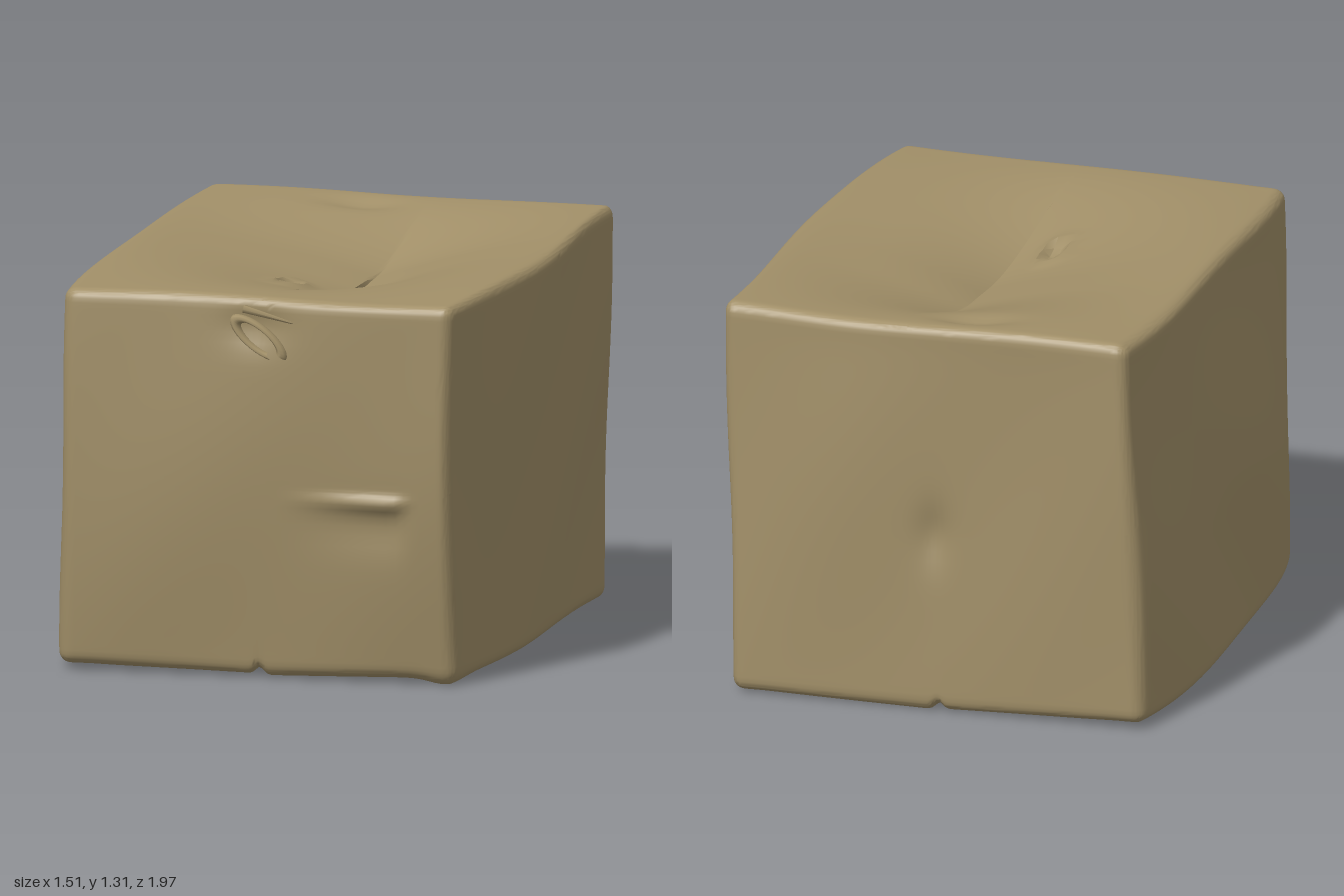
import * as THREE from 'three';
import { mergeVertices, toCreasedNormals } from 'three/addons/utils/BufferGeometryUtils.js';

const HALF = new THREE.Vector3(0.71, 0.65, 0.95); // nominal half size
const R = 0.038; // softness of the edges
const { smoothstep, lerp } = THREE.MathUtils;

// Skewed corners: [left/right][bottom/top][back/front]
const CORNERS = [
  [[[-0.69, 0.03, -0.98], [-0.67, 0.03, 0.83]], [[-0.635, 1.315, -0.99], [-0.645, 1.27, 0.88]]],
  [[[0.695, 0.015, -0.945], [0.645, 0.03, 0.845]], [[0.745, 1.31, -0.885], [0.66, 1.27, 0.985]]],
];

const bump = (a, a0, sa, b, b0, sb) => Math.exp(-(((a - a0) / sa) ** 2) - ((b - b0) / sb) ** 2);

// Packs grid lines towards the edges and the middle seam
const pack = (u) => u - 0.8 * Math.sin(2 * Math.PI * u) / (2 * Math.PI);

function skew(n) {
  const t = [n.x, n.y, n.z].map((c) => (c + 1) / 2);
  return new THREE.Vector3(...[0, 1, 2].map((k) => {
    const edge = (i, j) => lerp(CORNERS[i][j][0][k], CORNERS[i][j][1][k], t[2]);
    return lerp(lerp(edge(0, 0), edge(0, 1), t[1]), lerp(edge(1, 0), edge(1, 1), t[1]), t[0]);
  }));
}

// Maps a point of the cube to the crumpled carton
function place(cube) {
  const p = cube.clone().multiply(HALF);
  const lim = HALF.clone().subScalar(R);
  const core = p.clone().clamp(lim.clone().negate(), lim);
  const out = p.clone().sub(core);
  if (out.lengthSq() > 1e-12) p.copy(core).add(out.setLength(R));
  const n = p.divide(HALF);
  const v = skew(n);
  const face = (c) => Math.max(0, c) ** 14;
  const [top, bottom, front, back] = [face(n.y), face(-n.y), face(n.z), face(-n.z)];
  const [right, left] = [face(n.x), face(-n.x)];
  const off = cube.x * HALF.x; // distance from the seam

  // Sides bow out along their length; the whole width follows
  const bow = 1 - n.z ** 4;
  v.x -= Math.max(0, -n.x) * bow * (0.03 + 0.045 * (1 - smoothstep(v.y, 0.5, 1.25)));
  v.x += Math.max(0, n.x) * bow * 0.05 * smoothstep(v.z, -0.9, 0.25);
  v.x -= right * 0.015 * bump(v.y, 0.65, 0.35, v.z, 0.8, 0.2);

  // Top: two flaps sag towards the seam, the right one a little deeper
  v.x += top * (0.055 - 0.03 * n.z) * (1 - n.x * n.x);
  const along = smoothstep(v.z, -0.9, -0.25) * (1 - smoothstep(v.z, -0.05, 0.85));
  v.y -= top * 0.145 * along * Math.max(0, 1 - Math.abs(off) / 0.64) ** 1.35;
  if (off > 0.001) {
    v.y -= top * 0.04 * Math.exp(-(((v.z - 0.15) / 0.3) ** 2)) * Math.max(0, 1 - off / 0.4) ** 2;
  }
  v.y -= top * 0.025 * bump(v.x, -0.08, 0.12, v.z, -0.8, 0.06);
  // Small tear with a raised rim on the top
  const tear = Math.hypot((v.x + 0.055) / 0.045, (v.z - 0.23) / 0.09);
  v.y += top * (0.016 * Math.exp(-(((tear - 1) / 0.35) ** 2)) - 0.025 * Math.exp(-tear * tear * 2));

  // Bottom: left flap is tucked in behind the edge of the right one
  v.y -= bottom * 0.017 * Math.max(0, 1 - Math.abs(off) / 0.6) * n.z ** 4;
  v.y += bottom * 0.03 * Math.exp(-((off / 0.02) ** 2)) * n.z ** 8;
  v.y -= bottom * 0.02 * bump(v.x, 0.6, 0.07, v.z, 0.8, 0.15);
  if (off < -0.001) v.y += bottom * 0.045 * Math.max(0, 1 + off / 0.5) * (1 - n.z ** 4);

  // Front: bulge, folded slit and dent below the top edge
  v.z += front * 0.03 * Math.cos(n.y * Math.PI / 2);
  const slitY = v.y - 0.61;
  const slitX = smoothstep(v.x, 0.05, 0.45) * (1 - smoothstep(v.x, 0.46, 0.52));
  v.z += front * slitX * (0.025 * Math.exp(-((slitY / 0.025) ** 2)) - 0.015 * Math.exp(-(((slitY + 0.08) / 0.08) ** 2)));
  v.z -= front * 0.02 * bump(v.x, 0.0, 0.1, v.y, 1.17, 0.06);

  // Back: bulge towards the right, crease and shallow waves
  v.z -= back * 0.025 * bump(v.x, 0.35, 0.28, v.y, 0.9, 0.7);
  v.z += back * (0.02 * bump(v.x, 0.02, 0.06, v.y, 0.6, 0.1) + 0.006 * Math.sin(v.x * 7 + v.y * 3) * (1 - n.y ** 2));

  // Gentle unevenness all over
  v.x += (right + left) * 0.004 * Math.sin(v.y * 6 + v.z * 5);
  v.y += top * 0.004 * Math.sin(v.x * 6 - v.z * 4);
  v.z += front * 0.004 * Math.sin(v.x * 7 - v.y * 5);
  return v;
}

function cartonGeometry() {
  const box = new THREE.BoxGeometry(2, 2, 2, 64, 52, 72);
  box.deleteAttribute('uv');
  box.deleteAttribute('normal');
  const geo = mergeVertices(box, 1e-5);
  const pos = geo.attributes.position;
  const v = new THREE.Vector3();
  for (let i = 0; i < pos.count; i++) {
    v.fromBufferAttribute(pos, i);
    v.set(pack(v.x), pack(v.y), pack(v.z));
    const q = place(v);
    pos.setXYZ(i, q.x, q.y, q.z);
  }
  return toCreasedNormals(geo, 0.8);
}

export function createModel() {
  const model = new THREE.Group();
  model.name = 'crumpledCarton';
  const cardboard = new THREE.MeshStandardMaterial({ name: 'cardboard', color: 0xa18f68 });

  const carton = new THREE.Mesh(cartonGeometry(), cardboard);
  carton.name = 'carton';
  model.add(carton);

  // Torn, curled lip below the front top edge
  const lip = new THREE.Mesh(new THREE.TorusGeometry(1, 0.22, 8, 28, Math.PI * 1.75), cardboard);
  lip.name = 'tornLip';
  lip.scale.set(0.095, 0.035, 0.1);
  lip.rotation.set(0, -0.15, -0.6);
  lip.position.copy(place(new THREE.Vector3(0.01, 0.79, 1)));
  lip.position.z += 0.015;
  model.add(lip);

  // Creased strip that ends in a point above the lip
  const crease = new THREE.Mesh(new THREE.ConeGeometry(0.014, 0.22, 6), cardboard);
  crease.name = 'frontCrease';
  crease.rotation.z = -Math.PI / 2 - 0.25;
  crease.position.copy(place(new THREE.Vector3(0.09, 0.9, 1)));
  crease.position.z += 0.008;
  model.add(crease);
  return model;
}
